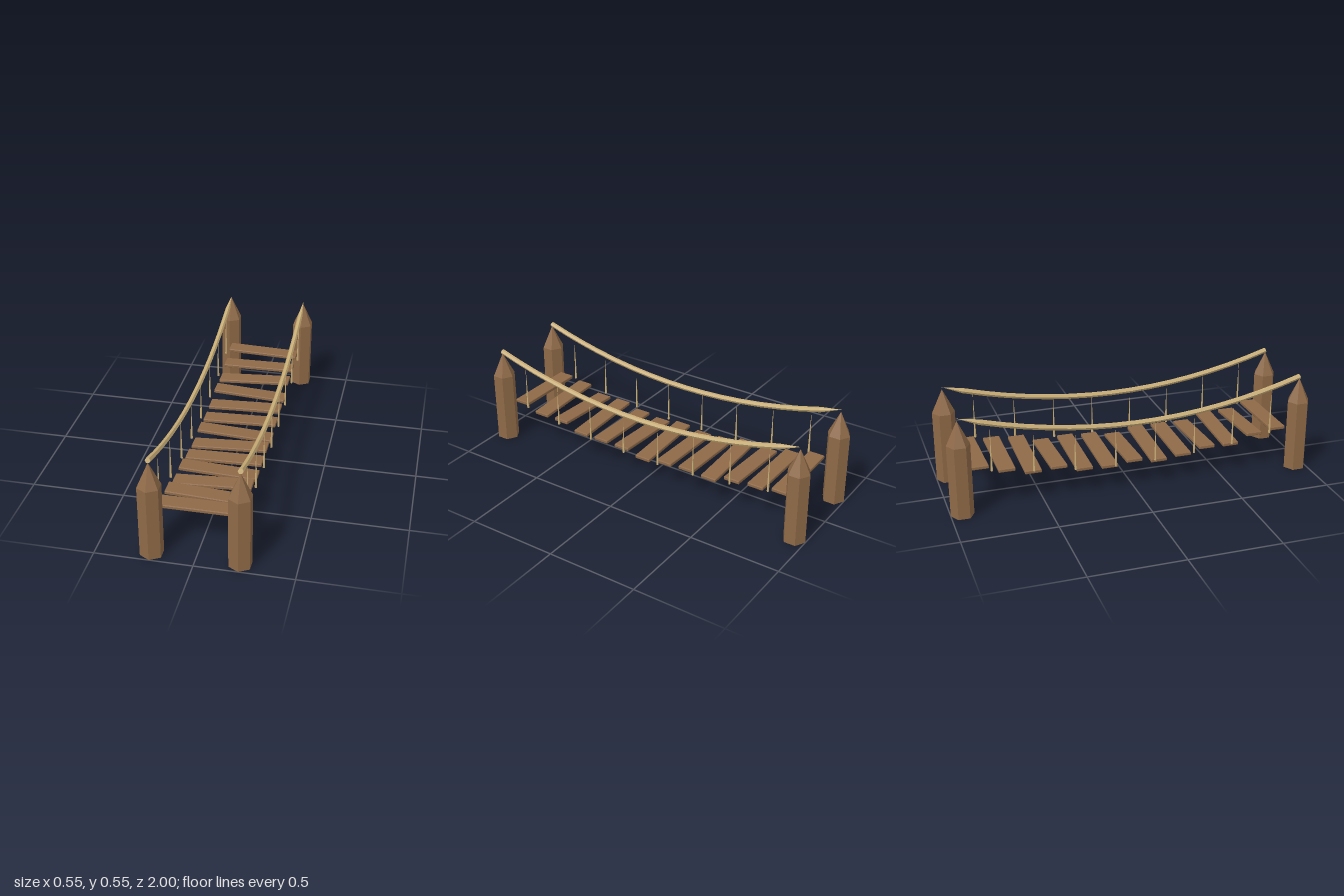
import * as THREE from 'three';
import { RoundedBoxGeometry } from 'three/addons/geometries/RoundedBoxGeometry.js';

const SIDE_X = 0.221, END_Z = 0.9385;
const ROPE_MID = 0.387, ROPE_END = 0.537, ROPE_R = 0.0143;

const deckY = z => 0.152 + 0.084 * (z / 0.83) ** 2;
const ropeY = z => ROPE_MID + (ROPE_END - ROPE_MID) * (z / END_Z) ** 2;

export function createModel() {
  const wood = new THREE.MeshStandardMaterial({ color: 0x8e6947, flatShading: true });
  wood.name = 'brown wood';
  const fibre = new THREE.MeshStandardMaterial({ color: 0xc8ad76, flatShading: true });
  fibre.name = 'tan rope';

  const model = new THREE.Group();
  model.name = 'ropeBridge';
  const add = (name, geometry, material, x = 0, y = 0, z = 0) => {
    const mesh = new THREE.Mesh(geometry, material);
    mesh.name = name;
    mesh.position.set(x, y, z);
    model.add(mesh);
    return mesh;
  };

  // Four hexagonal posts with sharpened tops
  const postGeo = new THREE.CylinderGeometry(0.0615, 0.0615, 0.395, 6);
  const tipGeo = new THREE.ConeGeometry(0.0615, 0.13, 6, 1, true);
  for (const x of [-SIDE_X, SIDE_X]) {
    for (const z of [-END_Z, END_Z]) {
      add('post', postGeo, wood, x, 0.1975, z);
      add('postTip', tipGeo, wood, x, 0.46, z);
    }
  }

  // Sagging hand ropes: capped at the front, drawn to a point at the back
  const curve = new THREE.QuadraticBezierCurve3(
    new THREE.Vector3(0, ROPE_END, END_Z),
    new THREE.Vector3(0, 2 * ROPE_MID - ROPE_END, 0),
    new THREE.Vector3(0, ROPE_END, -END_Z));
  const segments = 16, sides = 6;
  const ropeGeo = new THREE.TubeGeometry(curve, segments, ROPE_R, sides);
  const pos = ropeGeo.attributes.position;
  for (let i = segments * (sides + 1); i < pos.count; i++) pos.setXYZ(i, 0, ROPE_END, -END_Z);
  const capGeo = new THREE.CircleGeometry(ROPE_R, sides);
  const endSlope = 2 * (ROPE_END - ROPE_MID) / END_Z;
  for (const x of [-SIDE_X, SIDE_X]) {
    add('handRope', ropeGeo, fibre, x);
    add('ropeEnd', capGeo, fibre, x, ROPE_END, END_Z).rotation.x = -Math.atan(endSlope);
  }

  // Slender tapering hangers between deck and hand ropes
  for (let i = 0; i < 8; i++) {
    const z = (i - 3.5) * 0.2215;
    const low = deckY(z), high = ropeY(z);
    const hangerGeo = new THREE.ConeGeometry(0.0065, high - low, 5);
    for (const x of [-SIDE_X, SIDE_X]) add('hanger', hangerGeo, fibre, x, (low + high) / 2, z);
  }

  // Thirteen bevelled planks, each rolled a little, listed from front to back
  const rolls = [0, -0.05, 0.055, -0.045, 0.025, 0.055, -0.05, 0.035, 0.04, -0.055, 0.058, 0.012, -0.03];
  const plankGeo = new RoundedBoxGeometry(0.412, 0.019, 0.09, 1, 0.004);
  rolls.forEach((roll, i) => {
    const z = (6 - i) * 0.1385;
    add('plank', plankGeo, wood, 0, deckY(z), z).rotation.z = roll;
  });

  return model;
}
